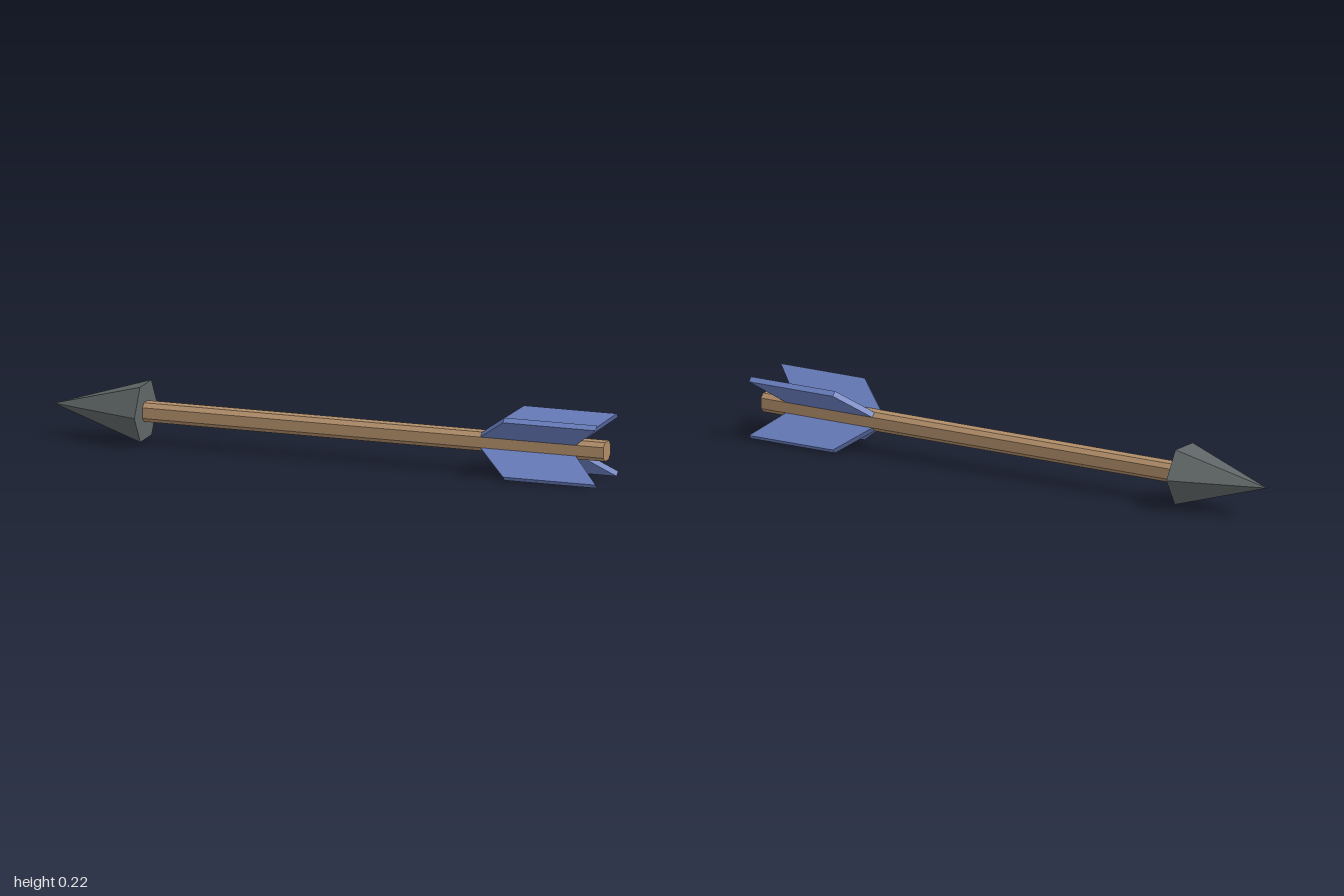
import * as THREE from 'three';

const AXIS_Y = 0.1115; // height of the shaft's centre line

function part(name, geometry, color) {
  const mesh = new THREE.Mesh(
    geometry,
    new THREE.MeshStandardMaterial({ color, flatShading: true })
  );
  mesh.name = name;
  return mesh;
}

function polygon(points) {
  return new THREE.Shape(points.map(([x, y]) => new THREE.Vector2(x, y)));
}

export function createModel() {
  const arrow = new THREE.Group();
  arrow.name = 'arrow';
  arrow.position.y = AXIS_Y;

  // Shaft: a square bar with chamfered corners, running along x
  const a = 0.033, b = 0.0185;
  const section = polygon([[a, -b], [a, b], [b, a], [-b, a], [-a, b], [-a, -b], [-b, -a], [b, -a]]);
  const shaft = new THREE.ExtrudeGeometry(section, { depth: 1.667, bevelEnabled: false });
  shaft.rotateY(Math.PI / 2).translate(-0.667, 0, 0);
  arrow.add(part('shaft', shaft, 0xb08d69));

  // Head: six-sided point facing -x, turned very slightly about its axis
  const head = new THREE.ConeGeometry(0.111, 0.333, 6);
  head.rotateZ(Math.PI / 2).rotateX(0.021).translate(-0.8335, 0, 0);
  arrow.add(part('head', head, 0x5f6566));

  // Fletching: four swept vanes growing out of the chamfers
  const thickness = (a - b) * Math.SQRT2;
  const inner = (a + b) / Math.SQRT2;
  const vane = polygon([[0.555, inner], [0.9, inner], [1, 0.144], [0.665, 0.144]]);
  const fletching = new THREE.Group();
  fletching.name = 'fletching';
  for (let i = 0; i < 4; i++) {
    const geometry = new THREE.ExtrudeGeometry(vane, { depth: thickness, bevelEnabled: false });
    geometry.translate(0, 0, -thickness / 2).rotateX(Math.PI / 4 + (i * Math.PI) / 2);
    fletching.add(part('vane' + (i + 1), geometry, 0x6a7fc0));
  }
  arrow.add(fletching);

  const model = new THREE.Group();
  model.name = 'model';
  model.add(arrow);
  return model;
}
